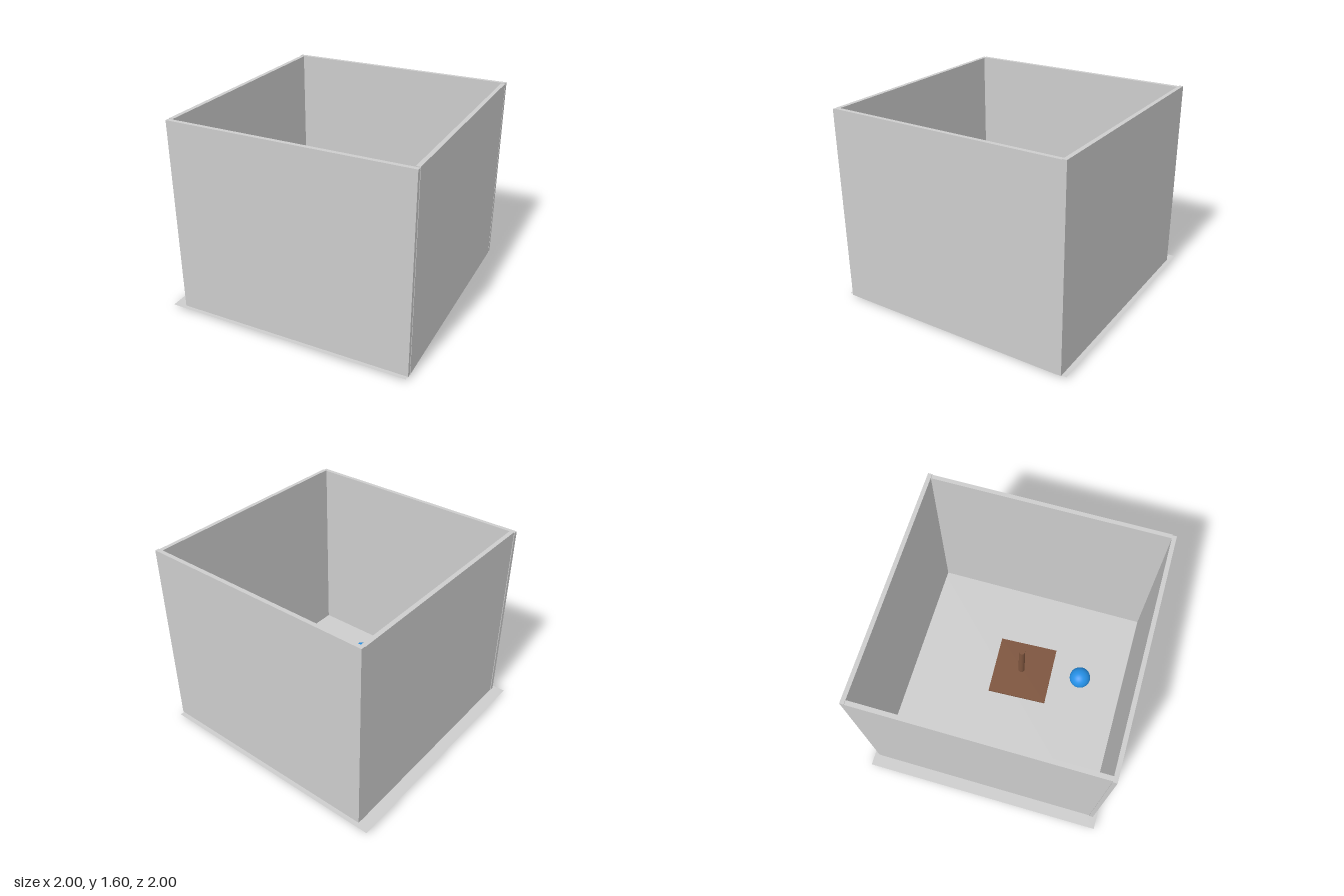
import * as THREE from 'three';

export function createModel() {
  const model = new THREE.Group();
  const mat = (name, color) => {
    const m = new THREE.MeshStandardMaterial({ color });
    m.name = name;
    return m;
  };
  const grey = mat('wall grey', 0xcccccc);
  const floorGrey = mat('floor grey', 0xcccccc);
  floorGrey.side = THREE.DoubleSide;
  const brown = mat('wood brown', 0x7d543d);
  const blue = mat('ball blue', 0x2590e6);

  const add = (name, geometry, material, x, y, z, parent = model) => {
    const mesh = new THREE.Mesh(geometry, material);
    mesh.name = name;
    mesh.position.set(x, y, z);
    parent.add(mesh);
    return mesh;
  };
  // box given by its limits on each axis
  const slab = (name, [x0, x1], [y0, y1], [z0, z1]) =>
    add(name, new THREE.BoxGeometry(x1 - x0, y1 - y0, z1 - z0), grey,
      (x0 + x1) / 2, (y0 + y1) / 2, (z0 + z1) / 2);

  // thin ground sheet, slightly wider than the room
  const floor = add('floor', new THREE.PlaneGeometry(1.99, 2), floorGrey, -0.005, 0.022, 0);
  floor.rotation.x = -Math.PI / 2;

  // four walls, open at the top
  slab('frontWall', [-0.905, 0.995], [0.018, 1.585], [0.935, 0.968]);
  slab('backWall', [-0.9, 1], [0.024, 1.595], [-0.963, -0.93]);
  slab('rightWall', [-0.9, -0.865], [0.02, 1.59], [-0.93, 0.935]);
  slab('leftWall', [0.965, 0.998], [0.02, 1.59], [-0.93, 0.935]);

  // square base with an upright post, turned a little
  const stand = new THREE.Group();
  stand.name = 'stand';
  stand.position.set(0.2, 0, 0.034);
  stand.rotation.y = 0.045;
  model.add(stand);
  add('standBase', new THREE.BoxGeometry(0.516, 0.04, 0.516), brown, 0, 0.02, 0, stand);
  add('standPost', new THREE.CylinderGeometry(0.027, 0.027, 0.46, 32), brown, 0.005, 0.27, -0.014, stand);

  // ball resting on the floor
  add('ball', new THREE.SphereGeometry(0.092, 32, 20), blue, 0.25, 0.114, 0.552);

  return model;
}
